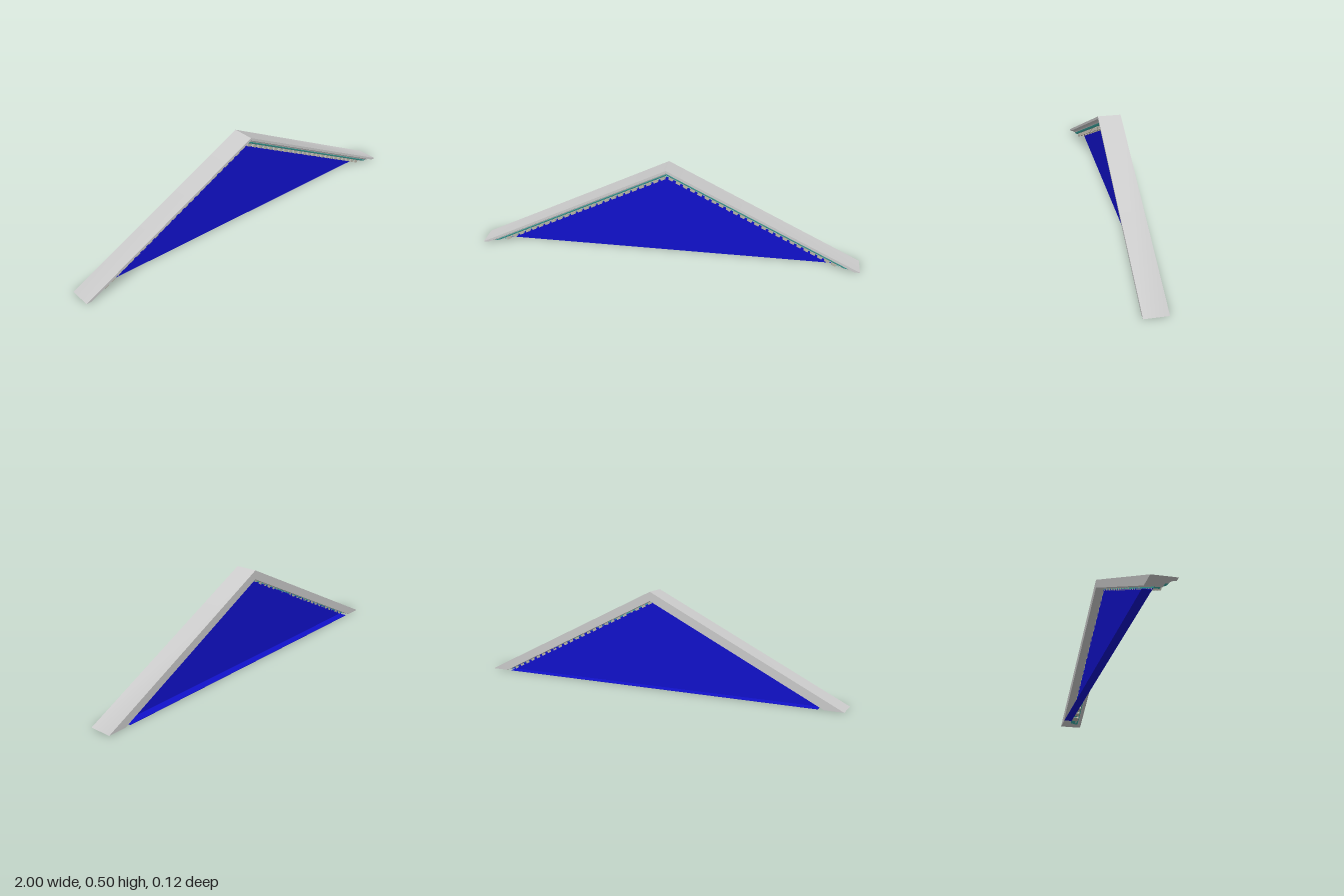
import * as THREE from 'three';
import { toCreasedNormals } from 'three/addons/utils/BufferGeometryUtils.js';

const APEX = 0.5, SLOPE = 0.5, BACK = -0.058, FRONT = 0.058;
const PANEL_Z = -0.015, PANEL_TOP = 0.4385;

const paint = (color) => new THREE.MeshStandardMaterial({ color, side: THREE.DoubleSide });

// Sweeps a closed profile of [z, drop below the ridge] over both slopes,
// mitred at the apex and cut level at the base.
function rakeGeometry(profile) {
  const n = profile.length, pos = [];
  const at = (side, [z, d]) => side === 0 ? [0, APEX - d, z] : [side * (APEX - d) / SLOPE, 0, z];
  const tri = (...p) => p.forEach((v) => pos.push(...v));
  for (const s of [-1, 0]) {
    for (let i = 0; i < n; i++) {
      const p = profile[i], q = profile[(i + 1) % n];
      tri(at(s, p), at(s, q), at(s + 1, q));
      tri(at(s, p), at(s + 1, q), at(s + 1, p));
    }
  }
  // level end cuts
  const outline = profile.map(([z, d]) => new THREE.Vector2(z, d));
  for (const [a, b, c] of THREE.ShapeUtils.triangulateShape(outline, [])) {
    tri(at(-1, profile[a]), at(-1, profile[b]), at(-1, profile[c]));
    tri(at(1, profile[a]), at(1, profile[c]), at(1, profile[b]));
  }
  const g = new THREE.BufferGeometry();
  g.setAttribute('position', new THREE.Float32BufferAttribute(pos, 3));
  return toCreasedNormals(g, 0.5);
}

export function createModel() {
  const group = new THREE.Group();
  const grey = paint(0xcccccc), teal = paint(0x3fb0a8), blue = paint(0x1111cc), stone = paint(0xb8b4a8);
  const add = (name, geometry, material, parent = group) => {
    const mesh = new THREE.Mesh(geometry, material);
    mesh.name = name;
    parent.add(mesh);
    return mesh;
  };

  // raking cornice with a hollow curve under its front fascia
  const cove = [];
  for (let i = 0; i <= 8; i++) {
    const a = (i / 8) * Math.PI / 2;
    cove.push([FRONT - 0.024 * Math.sin(a), 0.014 + 0.015 * (1 - Math.cos(a))]);
  }
  add('rakingCornice', rakeGeometry([
    [BACK, 0], [FRONT, 0], ...cove, [0.02, 0.029], [0.02, 0.0475], [BACK, 0.0475],
  ]), grey);

  // coloured bed moulding, stepping back towards the panel
  add('bedMoulding', rakeGeometry([
    [PANEL_Z, 0.029], [0.034, 0.029], [0.032, 0.036], [0.026, 0.041],
    [0.012, 0.042], [0.012, 0.054], [PANEL_Z, 0.054],
  ]), teal);

  // dentils along both slopes
  const dentils = new THREE.Group();
  dentils.name = 'dentils';
  group.add(dentils);
  const angle = Math.atan(SLOPE), count = 24;
  const dentil = new THREE.BoxGeometry(0.024, 0.017, 0.038);
  for (const side of [-1, 1]) {
    for (let i = 0; i < count; i++) {
      const x = 0.022 + (i / (count - 1)) * 0.847;
      const mesh = add('dentil', dentil, stone, dentils);
      mesh.position.set(side * x, APEX - 0.051 - x * SLOPE, 0.004);
      mesh.rotation.z = -side * angle;
    }
  }

  // recessed triangular panel
  const top = APEX - 0.045, half = top / SLOPE;
  const tri = new THREE.Shape([
    new THREE.Vector2(-half, 0), new THREE.Vector2(half, 0), new THREE.Vector2(0, top),
  ]);
  add('panel', new THREE.ShapeGeometry(tri), blue).position.z = PANEL_Z;

  // thin sill behind the foot of the panel
  const sill = add('sill', new THREE.BoxGeometry(2 * PANEL_TOP / SLOPE, 0.002, PANEL_Z - BACK), blue);
  sill.position.set(0, 0.001, (PANEL_Z + BACK) / 2);

  return group;
}
